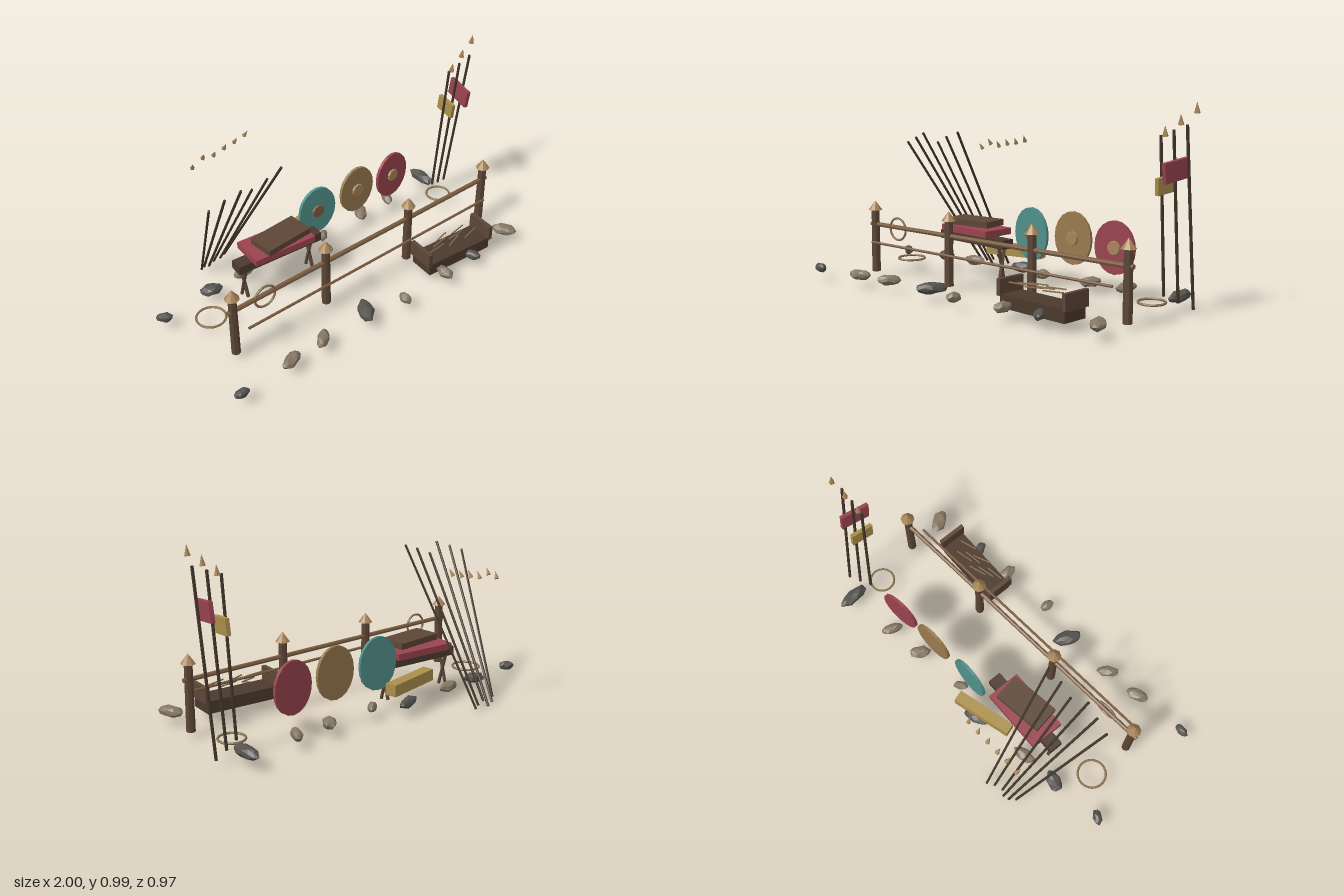
import * as THREE from 'three';

const mat = (color) => new THREE.MeshStandardMaterial({ color, flatShading: true });
const DARK = mat(0x4b392d), WOOD = mat(0x5c4636), LIGHT = mat(0x7b5d41), TAN = mat(0xa88458),
  POLE = mat(0x41342a), RED = mat(0x99434f), TEAL = mat(0x51908a), OCHRE = mat(0xab8f4b),
  SHIELD_TAN = mat(0x987a4e), ROPE = mat(0x8a7250), ROCK = mat(0x857763), ROCK_DARK = mat(0x55534f);
const UP = new THREE.Vector3(0, 1, 0);

export function createModel() {
  const root = new THREE.Group();
  root.name = 'campRack';

  const add = (name, geometry, material, pos, rot = [0, 0, 0], parent = root) => {
    const mesh = new THREE.Mesh(geometry, material);
    mesh.name = name;
    mesh.position.set(...pos);
    mesh.rotation.set(...rot);
    parent.add(mesh);
    return mesh;
  };
  const box = (name, size, material, pos, rot, parent) =>
    add(name, new THREE.BoxGeometry(...size), material, pos, rot, parent);
  // Straight round bar between two points
  const rod = (name, a, b, r, material, sides = 6) => {
    const p = new THREE.Vector3(...a), d = new THREE.Vector3(...b).sub(p);
    const mesh = add(name, new THREE.CylinderGeometry(r, r, d.length(), sides), material,
      p.clone().addScaledVector(d, 0.5).toArray());
    mesh.quaternion.setFromUnitVectors(UP, d.normalize());
    return mesh;
  };

  // Fence: capped posts and two rails
  for (const x of [-0.81, -0.26, 0.285, 0.83]) {
    add('post', new THREE.CylinderGeometry(0.021, 0.023, 0.33, 8), WOOD, [x, 0.2, 0.173]);
    add('postCap', new THREE.ConeGeometry(0.037, 0.05, 8), TAN, [x, 0.395, 0.173]);
  }
  rod('upperRail', [-0.84, 0.293, 0.173], [0.86, 0.293, 0.173], 0.012, LIGHT, 8);
  rod('lowerRail', [-0.77, 0.207, 0.235], [0.79, 0.207, 0.235], 0.007, LIGHT, 6);

  // Rope coils: two flat on the ground, one hung on the rail
  const coil = (R, pos, rot) =>
    add('ropeCoil', new THREE.TorusGeometry(R, 0.006, 6, 24), ROPE, pos, rot);
  coil(0.073, [-0.786, 0.072, -0.068], [Math.PI / 2, 0, 0]);
  coil(0.065, [0.78, 0.072, -0.097], [Math.PI / 2, 0, 0]);
  coil(0.058, [-0.63, 0.285, 0.177], [0, 0, 0]);

  // Leaning shafts: [topX, topY, topZ, bottomX, bottomY, bottomZ]
  const shafts = [
    [-0.765, 0.727, -0.03, -0.60, 0.04, -0.435], [-0.687, 0.757, -0.015, -0.57, 0.025, -0.46],
    [-0.61, 0.785, 0.005, -0.537, 0.01, -0.465], [-0.53, 0.74, -0.025, -0.515, 0.04, -0.45],
    [-0.452, 0.773, -0.01, -0.468, 0.03, -0.46], [-0.37, 0.80, -0.01, -0.43, 0.025, -0.48],
  ];
  for (const s of shafts) rod('leaningShaft', s.slice(0, 3), s.slice(3), 0.0065, POLE);

  // Row of loose points behind the shafts
  const tipY = [0.685, 0.715, 0.705, 0.72, 0.73, 0.745];
  tipY.forEach((y, i) => add('loosePoint', new THREE.ConeGeometry(0.012, 0.042, 5), TAN,
    [-0.593 + 0.064 * i, y, -0.432], [0.53, 0, 0.2 - 0.08 * i]));

  // Upright spears
  const spears = [
    [0.808, 0.845, -0.10, 0.80, 0.09, -0.165], [0.878, 0.872, -0.095, 0.866, 0.065, -0.185],
    [0.948, 0.898, -0.092, 0.935, 0.042, -0.205],
  ];
  spears.forEach((s, i) => {
    rod('spearShaft', s.slice(0, 3), s.slice(3), 0.0075, POLE);
    add('spearPoint', new THREE.ConeGeometry(0.015, 0.05, 5), TAN,
      [0.83 + 0.076 * i, 0.865 + 0.055 * i, -0.1 - 0.007 * i], [0.12, 0, -0.03]);
  });
  box('redBanner', [0.02, 0.095, 0.155], RED, [0.893, 0.692, -0.095], [0.13, -0.18, -0.03]);
  box('yellowBanner', [0.02, 0.08, 0.12], OCHRE, [0.825, 0.619, -0.12], [0.1, -0.14, -0.03]);

  // Oval shields with a front boss: [x, y, halfHeight, yaw, face, boss]
  const shields = [
    [-0.02, 0.283, 0.138, -0.07, TEAL, LIGHT], [0.25, 0.293, 0.135, 0.01, SHIELD_TAN, TAN],
    [0.502, 0.277, 0.133, 0.07, RED, TAN],
  ];
  for (const [x, y, r, yaw, face, bossMat] of shields) {
    const g = new THREE.Group();
    g.name = 'shield';
    g.position.set(x, y, -0.193);
    g.rotation.y = yaw;
    const plate = add('shieldPlate', new THREE.CylinderGeometry(1, 1, 0.016, 20), face,
      [0, 0, 0], [Math.PI / 2, 0, 0], g);
    plate.scale.set(0.112, 1, r);
    add('shieldBoss', new THREE.CylinderGeometry(0.034, 0.037, 0.012, 10), bossMat,
      [0, 0, 0.012], [Math.PI / 2, 0, 0], g);
    root.add(g);
  }

  // Bench on crossed legs, carrying stacked bundles
  box('benchSeat', [0.485, 0.047, 0.072], DARK, [-0.34, 0.23, -0.115], [0, -0.08, 0]);
  for (const [x, z] of [[-0.545, -0.125], [-0.15, -0.105]]) for (const s of [-1, 1])
    rod('benchLeg', [x, 0.21, z + 0.022 * s], [x - 0.005 * s, 0.04, z - 0.02 * s], 0.0095, WOOD);
  box('redBundle', [0.345, 0.034, 0.183], RED, [-0.342, 0.281, -0.118], [0, -0.085, 0]);
  box('darkBundle', [0.268, 0.032, 0.142], WOOD, [-0.328, 0.326, -0.097], [0, 0.07, 0]);
  box('yellowChest', [0.325, 0.06, 0.06], OCHRE, [-0.182, 0.167, -0.255], [0, 0.2, 0]);

  // Trough with raised ends and straw
  const trough = new THREE.Group();
  trough.name = 'trough';
  trough.position.set(0.467, 0, 0.322);
  trough.rotation.y = -0.08;
  box('troughBody', [0.4, 0.064, 0.137], DARK, [0, 0.083, 0], undefined, trough);
  for (const s of [-1, 1])
    box('troughEnd', [0.022, 0.08, 0.152], WOOD, [0.203 * s, 0.147, 0], undefined, trough);
  for (let i = 0; i < 7; i++)
    box('straw', [0.1, 0.006, 0.005], ROPE,
      [-0.125 + 0.037 * i, 0.17, 0.03 - 0.03 * (i % 3)], [0, 0.15 + 0.09 * (i % 4), 0], trough);
  root.add(trough);

  // Ground stones: [x, z, halfLength, halfWidth, yaw, dark]
  const stones = [
    [-0.96, -0.21, 0.042, 0.024, -0.6, 1], [-0.96, 0.435, 0.04, 0.023, 0, 1],
    [-0.665, 0.415, 0.062, 0.033, 0.4, 0], [-0.465, 0.4, 0.062, 0.03, 0.7, 0],
    [-0.18, 0.382, 0.083, 0.042, 1.0, 1], [0.03, 0.44, 0.042, 0.028, 1.3, 0],
    [0.322, 0.425, 0.055, 0.032, 1.5, 0], [0.53, 0.415, 0.05, 0.026, -1.2, 1],
    [0.818, 0.375, 0.068, 0.04, -1.0, 0], [-0.675, -0.235, 0.06, 0.038, -0.3, 1],
    [-0.47, -0.245, 0.065, 0.033, 0.1, 0], [-0.15, -0.28, 0.075, 0.03, 0.25, 1],
    [0.035, -0.215, 0.042, 0.024, 0.6, 0], [0.325, -0.24, 0.058, 0.035, 1.0, 0],
    [0.53, -0.255, 0.06, 0.027, 1.2, 0], [0.82, -0.275, 0.088, 0.035, 1.6, 1],
  ];
  stones.forEach(([x, z, l, w, yaw, dark], i) => {
    const geo = new THREE.IcosahedronGeometry(1, 1);
    const p = geo.attributes.position, v = new THREE.Vector3();
    // Dent the surface with a smooth rule so shared corners stay joined
    for (let k = 0; k < p.count; k++) {
      v.fromBufferAttribute(p, k);
      v.multiplyScalar(0.96 + 0.1 * Math.sin(5 * v.x + 3 * v.y + 4 * v.z + i));
      p.setXYZ(k, v.x, v.y, v.z);
    }
    geo.computeVertexNormals();
    add('stone', geo, dark ? ROCK_DARK : ROCK, [x, 0.074, z], [0, yaw, 0])
      .scale.set(l, 0.022 + 0.1 * l, w);
  });
  return root;
}
